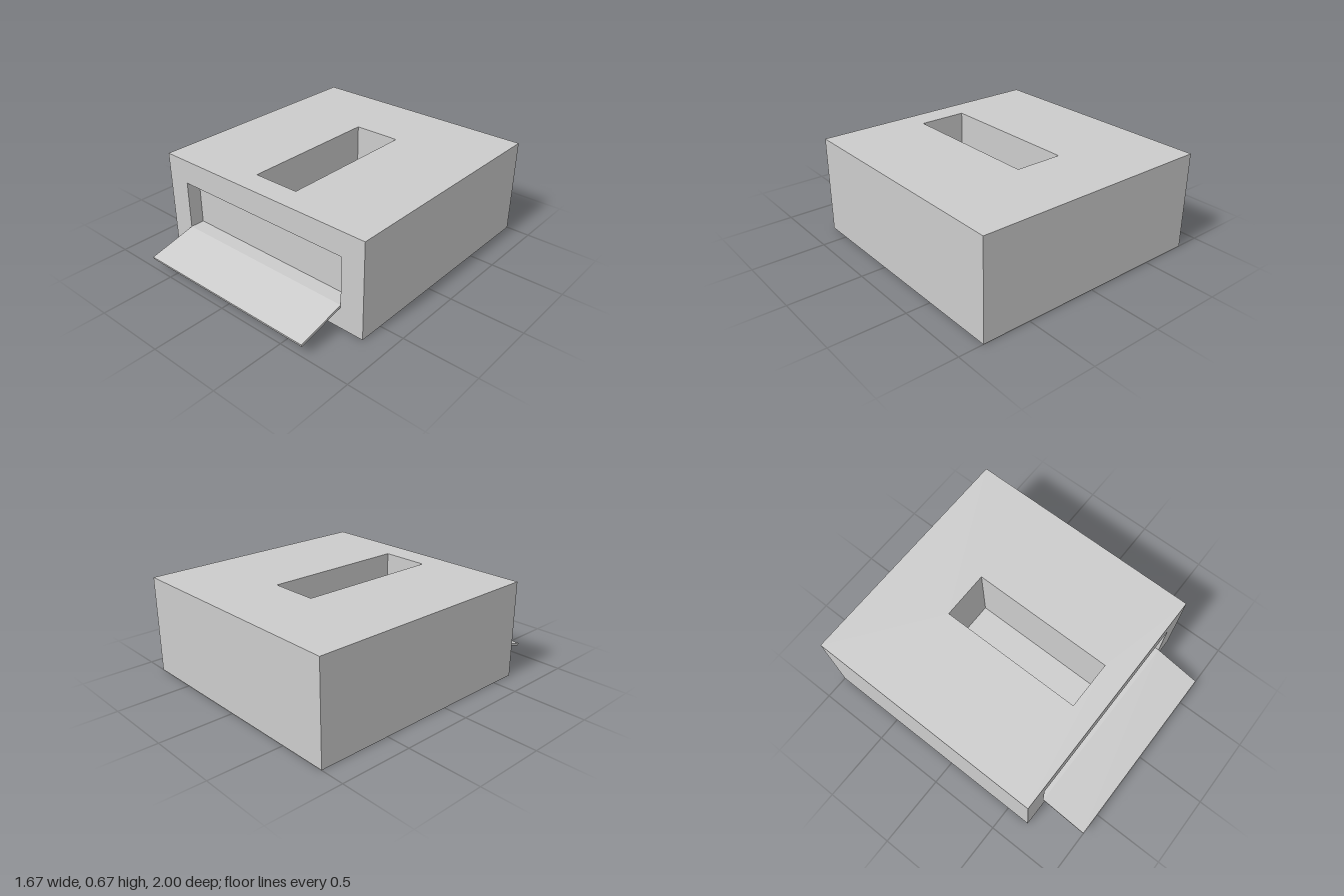
import * as THREE from 'three';
import { mergeGeometries } from 'three/addons/utils/BufferGeometryUtils.js';

const W = 0.8333, H = 0.6667, BACK = -1, FRONT = 0.6667; // body extents
const SIDE = { top: 2, front: 4 };                       // face numbers of a box

// Box between two corners, leaving out some faces; inward turns it into a pocket
function openBox(min, max, skip, inward = false) {
  const size = max.map((v, i) => v - min[i]);
  const g = new THREE.BoxGeometry(...size);
  g.translate(...max.map((v, i) => (v + min[i]) / 2));
  const index = [...g.index.array].filter((_, i) => !skip.includes(Math.floor(i / 6)));
  if (inward) {
    index.reverse();
    const n = g.attributes.normal;
    for (let i = 0; i < n.count; i++) n.setXYZ(i, -n.getX(i), -n.getY(i), -n.getZ(i));
  }
  g.setIndex(index);
  g.clearGroups();
  return g;
}

const rect = (C, x, y0, y1) => new C([[-x, y0], [x, y0], [x, y1], [-x, y1]]
  .map(([a, b]) => new THREE.Vector2(a, b)));

// Flat rectangular panel with a rectangular hole
function panel(x, y0, y1, hx, hy0, hy1) {
  const shape = rect(THREE.Shape, x, y0, y1);
  shape.holes.push(rect(THREE.Path, hx, hy0, hy1));
  return new THREE.ShapeGeometry(shape);
}

export function createModel() {
  const model = new THREE.Group();
  model.name = 'slottedBox';
  const grey = new THREE.MeshStandardMaterial({ color: 0xcccccc });
  grey.name = 'light grey';

  const add = (name, geometry) => {
    const mesh = new THREE.Mesh(geometry, grey);
    mesh.name = name;
    model.add(mesh);
  };

  // Body: closed sides, plus front and top panels cut for the recess and slot
  add('body', mergeGeometries([
    openBox([-W, 0, BACK], [W, H, FRONT], [SIDE.top, SIDE.front]),
    panel(W, 0, H, 0.6667, 0.1667, 0.5).translate(0, 0, FRONT),
    panel(W, -FRONT, -BACK, 0.1667, -0.5, 0.5).rotateX(-Math.PI / 2).translate(0, H, 0),
  ]));

  // Shallow recess behind the flap
  add('frontRecess', openBox([-0.6667, 0.1667, 0.5667], [0.6667, 0.5, FRONT], [SIDE.front], true));

  // Deep slot in the top
  add('topSlot', openBox([-0.1667, 0.1667, -0.5], [0.1667, H, 0.5], [SIDE.top], true));

  // Thin flap sloping down from the lower edge of the recess
  const length = 0.3436, thick = 0.017;
  add('flap', new THREE.BoxGeometry(1.3333, thick, length)
    .translate(0, -thick / 2, length / 2)
    .rotateX(Math.atan(0.25))
    .translate(0, 0.1667, FRONT));

  return model;
}
